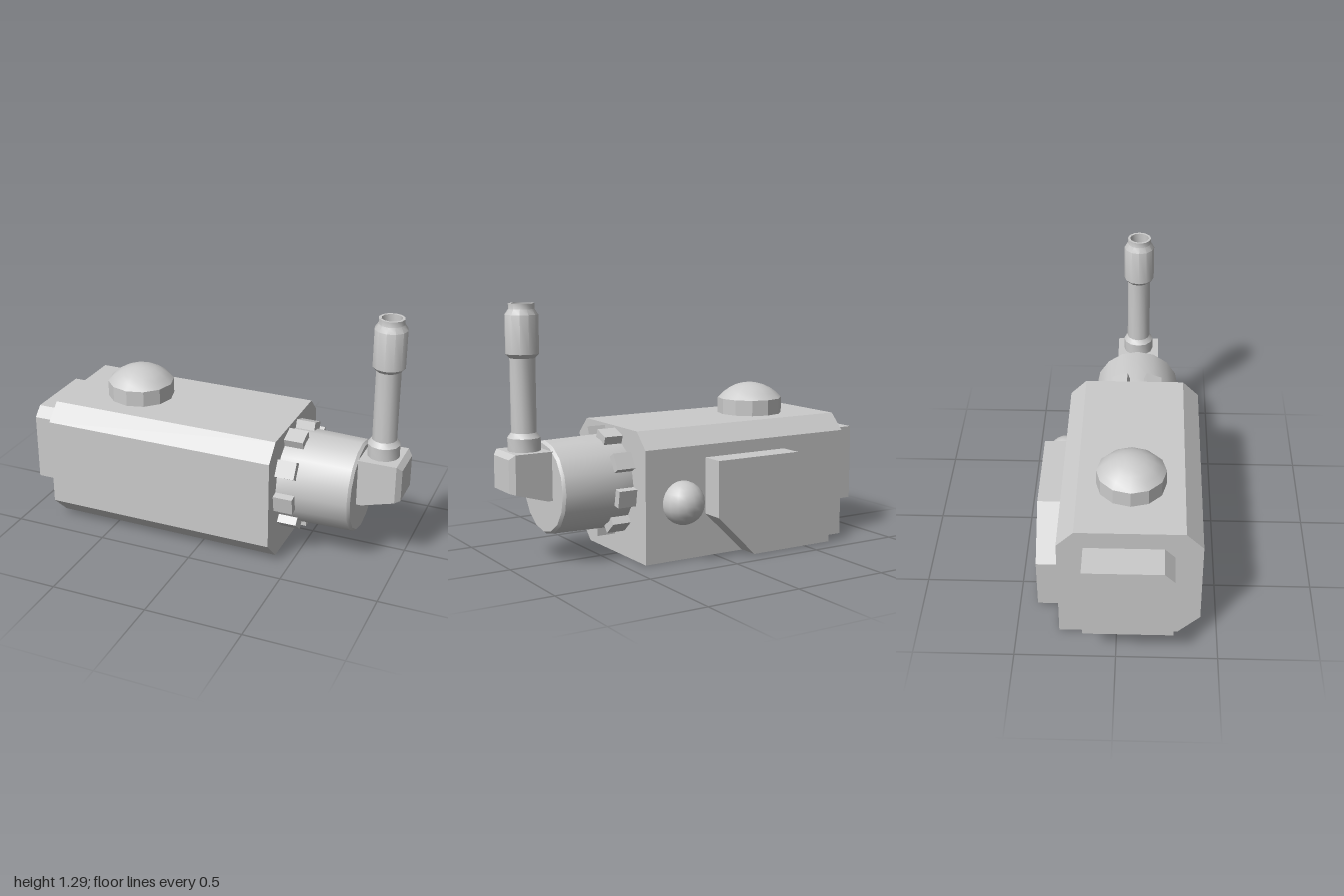
import * as THREE from 'three';
import { toCreasedNormals } from 'three/addons/utils/BufferGeometryUtils.js';
import { ConvexGeometry } from 'three/addons/geometries/ConvexGeometry.js';

const V2 = (list) => list.map(([x, y]) => new THREE.Vector2(x, y));

export function createModel() {
  const model = new THREE.Group();
  const mat = new THREE.MeshStandardMaterial({ color: 0xcccccc });
  const flat = new THREE.MeshStandardMaterial({ color: 0xcccccc, flatShading: true });

  const add = (name, geometry, material = mat, parent = model) => {
    const mesh = new THREE.Mesh(geometry, material);
    mesh.name = name;
    parent.add(mesh);
    return mesh;
  };
  // Extrude a [z, y] outline along x from x0 to x1
  const alongX = (outline, x0, x1, hole) => {
    const flip = (pts) => V2(pts.map(([z, y]) => [-z, y]));
    const shape = new THREE.Shape(flip(outline));
    if (hole) shape.holes.push(new THREE.Path(flip(hole)));
    return new THREE.ExtrudeGeometry(shape, { depth: x1 - x0, bevelEnabled: false })
      .rotateY(Math.PI / 2).translate(x0, 0, 0);
  };
  const lathe = (profile, sides, crease = 0.6) =>
    toCreasedNormals(new THREE.LatheGeometry(V2(profile), sides), crease);

  // Main housing with three chamfered long edges
  add('housing', alongX([
    [0.303, 0], [0.415, 0.11], [0.415, 0.575], [0.33, 0.66],
    [-0.203, 0.66], [-0.288, 0.575], [-0.288, 0],
  ], -0.83, 0.4), flat);

  // Hollow socket at the -x end
  add('endSocket', alongX(
    [[0.28, 0.16], [0.28, 0.515], [0.23, 0.565], [-0.16, 0.565], [-0.16, 0.16]],
    -1, -0.83,
    [[0.24, 0.2], [0.24, 0.5], [0.215, 0.525], [-0.12, 0.525], [-0.12, 0.2]],
  ), flat);

  // Domed button on top: short rim and spherical cap
  const capR = 0.225, cap = [];
  for (let i = 0; i <= 5; i++) {
    const a = Math.asin(0.174 / capR) * (1 - i / 5);
    cap.push([capR * Math.sin(a), 0.825 - capR * (1 - Math.cos(a))]);
  }
  add('domeButton', lathe([[0.174, 0.64], ...cap], 12, 0.5)).position.set(-0.465, 0, 0.063);

  // Side plate on the back
  const plate = new THREE.Shape(V2([
    [0.05, 0.51], [-0.44, 0.51], [-0.655, 0.28], [-0.655, 0.005], [-0.17, 0.005], [0.05, 0.22],
  ]));
  add('backPlate', new THREE.ExtrudeGeometry(plate, { depth: 0.125, bevelEnabled: false })
    .translate(0, 0, -0.41), flat);

  // Round knob beside the plate
  add('backKnob', new THREE.SphereGeometry(0.111, 16, 12)).position.set(0.195, 0.297, -0.305);

  // Barrel and its ring of grip teeth, on the x axis
  const barrel = new THREE.Group();
  barrel.name = 'barrelAssembly';
  barrel.position.set(0, 0.373, 0.075);
  model.add(barrel);
  add('barrel', lathe([
    [0.243, 0.39], [0.243, 0.49], [0.237, 0.768], [0.225, 0.782], [0, 0.782],
  ], 16).rotateZ(-Math.PI / 2), mat, barrel);
  for (let i = 0; i < 9; i++) {
    const tooth = new THREE.BoxGeometry(0.115, 0.07, 0.088).translate(0.4425, -0.243, 0);
    add('gripTooth', tooth, flat, barrel).rotation.x = (i / 9) * Math.PI * 2;
  }

  // Elbow block with bevelled outer face and sloped underside
  const corners = [];
  for (const s of [-1, 1]) {
    for (const [x, y, w] of [
      [0.775, 0.325, 0.115], [0.775, 0.57, 0.115], [0.808, 0.325, 0.115],
      [0.975, 0.373, 0.115], [0.975, 0.57, 0.115], [1, 0.38, 0.09], [1, 0.545, 0.09],
    ]) corners.push(new THREE.Vector3(x, y, 0.077 + s * w));
  }
  add('elbow', new ConvexGeometry(corners), flat);

  // Upright stem with collar, grip and open tip
  add('stem', lathe([
    [0.082, 0.56], [0.082, 0.635], [0.063, 0.66], [0.063, 1.025], [0.082, 1.045],
    [0.082, 1.235], [0.064, 1.262], [0.064, 1.29], [0.051, 1.29], [0.051, 1.23], [0, 1.23],
  ], 12)).position.set(0.877, 0, 0.077);

  return model;
}
